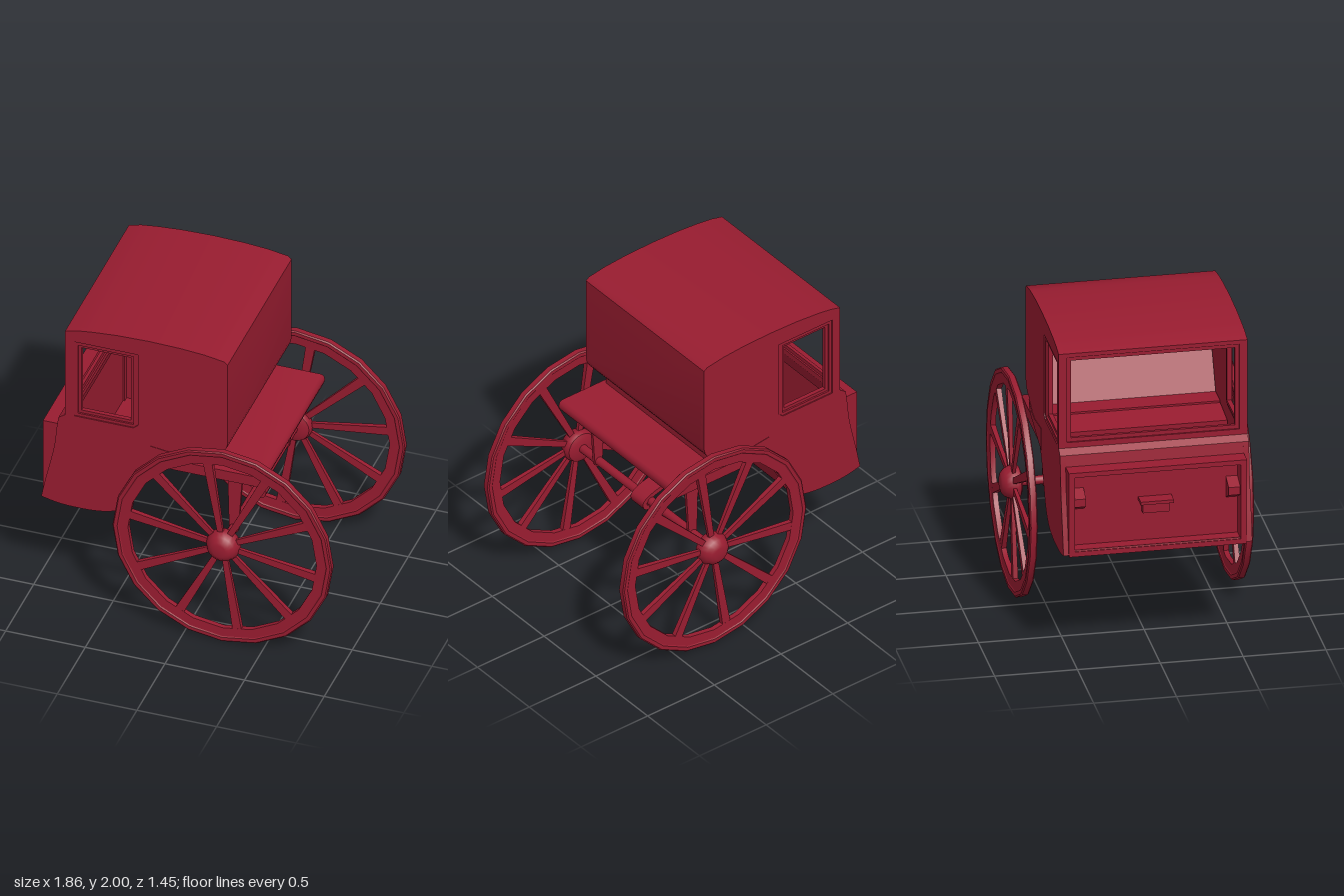
import * as THREE from 'three';
import { toCreasedNormals } from 'three/addons/utils/BufferGeometryUtils.js';

const paint = new THREE.MeshStandardMaterial({ color: 0x981c30, side: THREE.DoubleSide });

function add(parent, name, geometry, x = 0, y = 0, z = 0) {
  const mesh = new THREE.Mesh(geometry, paint);
  mesh.name = name;
  mesh.position.set(x, y, z);
  parent.add(mesh);
  return mesh;
}

// Box given by its limits on each axis
function block(parent, name, [x0, x1], [y0, y1], [z0, z1]) {
  return add(parent, name, new THREE.BoxGeometry(x1 - x0, y1 - y0, z1 - z0),
    (x0 + x1) / 2, (y0 + y1) / 2, (z0 + z1) / 2);
}

const vectors = (pts) => pts.map(([x, y]) => new THREE.Vector2(x, y));
const rect = (x0, x1, y0, y1) => [[x0, y0], [x1, y0], [x1, y1], [x0, y1]];
const smooth = (pts, n) => new THREE.SplineCurve(vectors(pts)).getPoints(n).map((p) => [p.x, p.y]);

// Extruded side-view outline, from z0 to z1, with optional holes
function slab(pts, z0, z1, holes = [], crease = 0.6) {
  const shape = new THREE.Shape(vectors(pts));
  holes.forEach((h) => shape.holes.push(new THREE.Path(vectors(h))));
  const g = new THREE.ExtrudeGeometry(shape, { depth: z1 - z0, bevelEnabled: false });
  g.translate(0, 0, z0);
  return toCreasedNormals(g, crease);
}

// Open profile thickened to its right-hand side
function thicken(pts, t) {
  const inner = pts.map((p, i) => {
    const a = pts[Math.max(i - 1, 0)], b = pts[Math.min(i + 1, pts.length - 1)];
    const dx = b[0] - a[0], dy = b[1] - a[1], l = Math.hypot(dx, dy);
    return [p[0] + (dy / l) * t, p[1] - (dx / l) * t];
  });
  return [...pts, ...inner.reverse()];
}

function makeWheel() {
  const wheel = new THREE.Group();
  const R = 0.688;

  // Twenty-sided rim with a raised tyre band
  const rim = new THREE.LatheGeometry(vectors([
    [0.592, -0.016], [0.65, -0.019], [0.657, -0.024], [R - 0.008, -0.024], [R, -0.017],
    [R, 0.017], [R - 0.008, 0.024], [0.657, 0.024], [0.65, 0.019], [0.592, 0.016], [0.592, -0.016],
  ]), 20);
  rim.rotateX(Math.PI / 2);
  add(wheel, 'rim', toCreasedNormals(rim, 0.4));

  // Square spokes, one to every second side of the rim, widening outward
  for (let i = 0; i < 10; i++) {
    const g = new THREE.CylinderGeometry(0.041, 0.025, 0.54, 4);
    g.rotateY(Math.PI / 4);
    g.scale(1, 1, 0.55);
    g.translate(0, 0.34, 0);
    add(wheel, 'spoke', toCreasedNormals(g, 0.5)).rotation.z = THREE.MathUtils.degToRad(9 + 36 * i);
  }

  // Bevelled hub
  const hub = new THREE.LatheGeometry(vectors([
    [0, -0.055], [0.065, -0.055], [0.095, -0.042], [0.105, -0.02], [0.105, 0.005],
    [0.085, 0.045], [0.06, 0.067], [0.04, 0.073], [0, 0.074],
  ]), 20);
  hub.rotateX(Math.PI / 2);
  add(wheel, 'hub', toCreasedNormals(hub, 0.7));
  return wheel;
}

function makeCab() {
  const cab = new THREE.Group();
  cab.name = 'cab';
  const roof = [[-0.778, 1.95], [-0.7, 1.97], [-0.6, 1.983], [-0.45, 1.995], [-0.25, 2],
    [-0.05, 1.995], [0.1, 1.983], [0.22, 1.963], [0.243, 1.945]];
  const back = [[0.243, 1.37], [0.235, 1.335], [0.215, 1.305], [0.185, 1.285], [0.13, 1.275]];
  const under = smooth([[0.1, 1.21], [0.0, 1.175], [-0.12, 1.155], [-0.22, 1.08], [-0.3, 0.94],
    [-0.37, 0.8], [-0.46, 0.715], [-0.58, 0.685], [-0.72, 0.68], [-0.83, 0.688], [-0.928, 0.71]], 30);
  const front = smooth([[-0.9, 0.85], [-0.87, 0.98], [-0.845, 1.1], [-0.83, 1.24], [-0.82, 1.31]], 8);
  const shell = [...roof, ...back, ...under];
  const outerFrame = [[-0.72, 1.345], [-0.35, 1.345], [-0.32, 1.37], [-0.32, 1.885], [-0.72, 1.885]];
  const innerFrame = rect(-0.7, -0.352, 1.365, 1.86);
  const opening = rect(-0.68, -0.37, 1.385, 1.84);

  // Roof, back wall, curved underside and floor in one shell
  add(cab, 'roofBackAndFloor', slab(thicken(shell, 0.03), -0.56, 0.56));

  for (const s of [1, -1]) {
    const span = (a, b) => (s > 0 ? [a, b] : [-b, -a]);
    // Side wall with a window set back in two steps
    add(cab, 'sideWall', slab([...shell, ...front, [-0.778, 1.34]], ...span(0.535, 0.57), [outerFrame]));
    add(cab, 'windowFrame', slab(outerFrame, ...span(0.53, 0.563), [innerFrame]));
    add(cab, 'windowBead', slab(innerFrame, ...span(0.525, 0.552), [opening]));
    // Plate at the foot of the rear side
    add(cab, 'rearSidePlate', slab([[-0.245, 1.1], [0.0, 1.17], [0.08, 1.19], [0.12, 1.225], [0.13, 1.265],
      [0.09, 1.255], [0.03, 1.225], [-0.05, 1.215], [-0.245, 1.24]], ...span(0.54, 0.573)));
    // Upright wing and bracket beside the footwell
    block(cab, 'footwellWing', [-0.928, -0.78], [0.71, 1.24], span(0.5, 0.538));
    add(cab, 'footwellBracket', slab([[-0.82, 0.96], [-0.82, 1.1], [-0.91, 1.06], [-0.91, 1.01]], ...span(0.43, 0.5)));
  }

  // Front window frame and its recessed bead, drawn facing forward then turned
  const frontPanel = (name, outline, hole, x, depth) => {
    const g = slab(outline, 0, depth, [hole]);
    g.rotateY(Math.PI / 2);
    add(cab, name, g, x);
  };
  const frontHole = rect(-0.52, 0.52, 1.375, 1.925);
  frontPanel('frontWindowFrame', rect(-0.55, 0.55, 1.34, 1.95), frontHole, -0.778, 0.04);
  frontPanel('frontWindowBead', frontHole, rect(-0.495, 0.495, 1.4, 1.9), -0.768, 0.02);

  // Ledge, and the shallow open box of the lower front
  add(cab, 'frontLedge', slab([[-0.83, 1.24], [-0.77, 1.24], [-0.74, 1.34], [-0.778, 1.34], [-0.82, 1.31]], -0.55, 0.55));
  block(cab, 'frontApron', [-0.825, -0.79], [0.69, 1.25], [-0.54, 0.54]);
  block(cab, 'footwellShelf', [-0.928, -0.79], [1.21, 1.24], [-0.51, 0.51]);
  block(cab, 'footwellSill', [-0.928, -0.8], [0.698, 0.73], [-0.535, 0.535]);
  block(cab, 'frontStep', [-0.91, -0.82], [0.99, 1.01], [-0.1, 0.1]);
  block(cab, 'frontStepBlock', [-0.87, -0.82], [0.92, 0.99], [-0.08, 0.08]);

  // Passenger bench with sloped back
  add(cab, 'bench', slab([[-0.34, 0.95], [-0.2, 1.14], [0.05, 1.2], [0.2, 1.32], [0.215, 1.58],
    [0.15, 1.58], [0.0, 1.28], [-0.36, 1.25]], -0.53, 0.53, [], 0.2));
  return cab;
}

export function createModel() {
  const carriage = new THREE.Group();
  carriage.name = 'carriage';
  const axleX = 0.243, axleY = 0.688;
  carriage.add(makeCab());

  // Rear platform with a rounded edge, and the box above it
  add(carriage, 'rearPlatform', slab([[-0.16, 1.09], [0.435, 1.09], [0.452, 1.103], [0.458, 1.125],
    [0.452, 1.147], [0.435, 1.16], [-0.16, 1.16]], -0.557, 0.557, [], 1));
  block(carriage, 'rearBox', [-0.14, 0.125], [1.15, 1.28], [-0.53, 0.53]);

  // Axle and its supports
  const axle = new THREE.CylinderGeometry(0.027, 0.027, 1.26, 16);
  axle.rotateX(Math.PI / 2);
  add(carriage, 'axle', axle, axleX, axleY);
  for (const z of [-0.455, 0.455]) {
    add(carriage, 'axleHanger', slab([[0.205, 1.1], [0.215, 0.67], [0.23, 0.65], [0.256, 0.65],
      [0.272, 0.67], [0.3, 1.1]], z - 0.01, z + 0.01));
  }
  // Strap from the underside, hooked round the axle
  const strap = smooth([[-0.24, 1.09], [-0.1, 0.99], [0.02, 0.89], [0.13, 0.78], [0.24, 0.74],
    [0.3, 0.7], [0.295, 0.65], [0.26, 0.633]], 24);
  add(carriage, 'centreStrap', slab(thicken(strap, 0.03), -0.06, 0.06));

  // Wheels, the second turned about to face outward
  for (const s of [1, -1]) {
    const wheel = makeWheel();
    wheel.name = s > 0 ? 'frontSideWheel' : 'backSideWheel';
    wheel.position.set(axleX, axleY, s * 0.653);
    if (s < 0) wheel.rotation.y = Math.PI;
    carriage.add(wheel);
  }
  return carriage;
}
